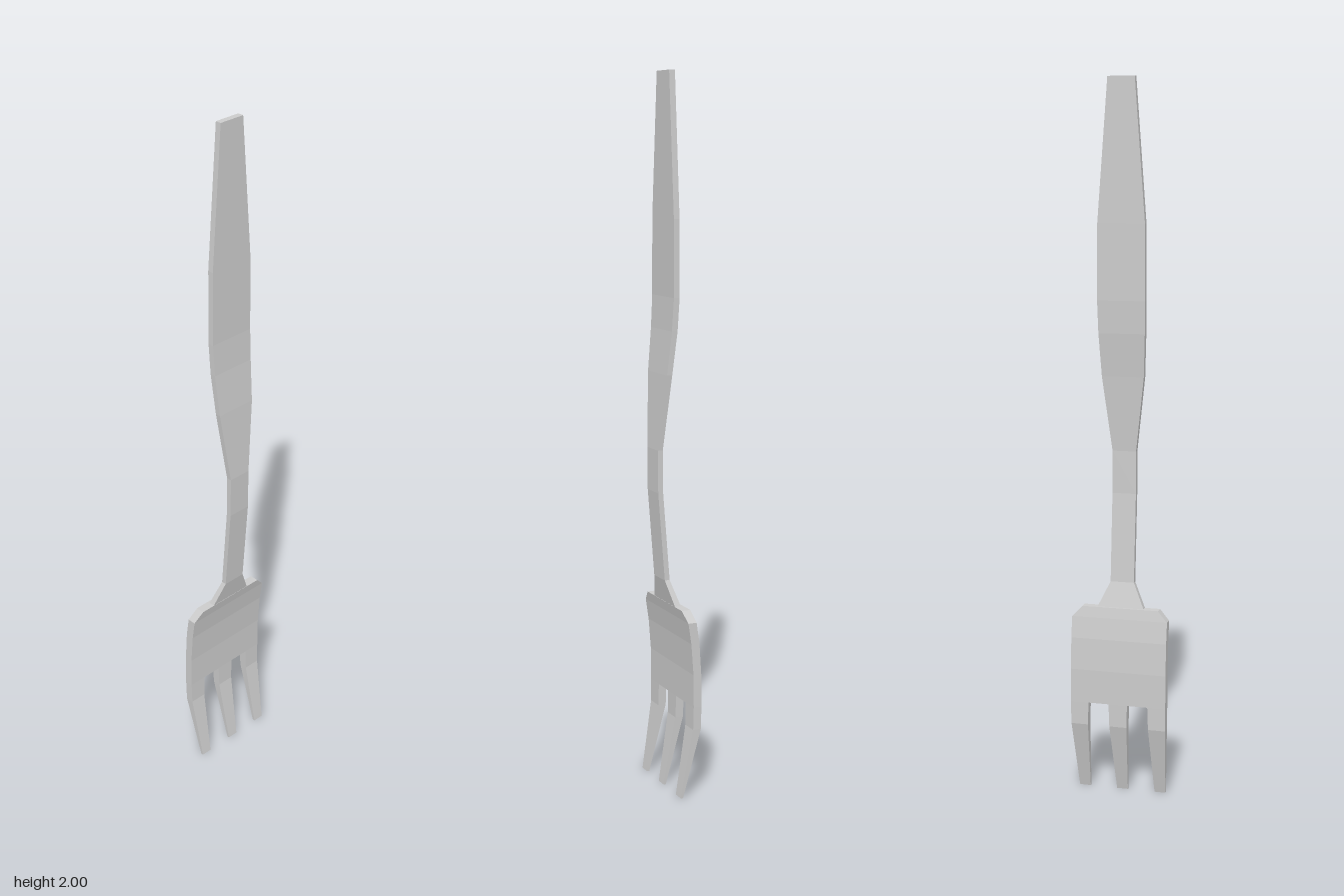
import * as THREE from 'three';

const material = new THREE.MeshStandardMaterial({ color: 0xcccccc, flatShading: true });

// Skins rectangular sections listed from top to bottom: [y, xLow, xHigh, zFront, zBack]
function loft(name, rows, capTop = true, capBottom = true) {
  const positions = [], index = [];
  rows.forEach(([y, x0, x1, zf, zb]) =>
    positions.push(x0, y, zf, x1, y, zf, x1, y, zb, x0, y, zb));
  for (let r = 0; r < rows.length - 1; r++) {
    for (let k = 0; k < 4; k++) {
      const a = r * 4 + k, b = r * 4 + (k + 1) % 4;
      index.push(a, a + 4, b + 4, a, b + 4, b);
    }
  }
  const e = (rows.length - 1) * 4;
  if (capTop) index.push(0, 1, 2, 0, 2, 3);
  if (capBottom) index.push(e, e + 2, e + 1, e, e + 3, e + 2);
  const indexed = new THREE.BufferGeometry();
  indexed.setAttribute('position', new THREE.Float32BufferAttribute(positions, 3));
  indexed.setIndex(index);
  const geometry = indexed.toNonIndexed();
  geometry.computeVertexNormals();
  const mesh = new THREE.Mesh(geometry, material);
  mesh.name = name;
  return mesh;
}

// Section symmetric about x = 0
const sym = ([y, half, zf, zb]) => [y, -half, half, zf, zb];

export function createModel() {
  const fork = new THREE.Group();
  fork.name = 'fork';

  // Handle: wide grip, S-curved narrow shank, flared neck
  fork.add(loft('handle', [
    [2.0, 0.038, 0.010, -0.007],
    [1.61, 0.067, 0.010, -0.007],
    [1.4, 0.068, 0.010, -0.007],
    [1.31, 0.066, 0.015, -0.002],
    [1.19, 0.060, 0.027, 0.011],
    [0.98, 0.034, 0.042, 0.027],
    [0.86, 0.034, 0.041, 0.026],
    [0.61, 0.034, 0.021, 0.006],
    [0.535, 0.069, 0.004, -0.014],
  ].map(sym)));

  // Palm: dished plate with clipped shoulders
  const root = 0.265, front = -0.018, back = -0.042;
  fork.add(loft('palm', [
    [0.54, 0.110, 0.006, -0.020],
    [0.51, 0.138, -0.001, -0.026],
    [0.45, 0.138, -0.010, -0.035],
    [0.36, 0.138, -0.017, -0.041],
    [root, 0.138, front, back],
  ].map(sym), true, false));

  // Tines: [x range at root, at bend, at tip]
  const outer = [[0.086, 0.138], [0.088, 0.137], [0.095, 0.127]];
  const tines = {
    leftTine: outer,
    middleTine: [[-0.027, 0.027], [-0.025, 0.025], [-0.016, 0.016]],
    rightTine: outer.map(([a, b]) => [-b, -a]),
  };
  for (const [name, [top, bend, tip]] of Object.entries(tines)) {
    fork.add(loft(name, [
      [root, ...top, front, back],
      [0.2, ...bend, -0.017, -0.041],
      [0, ...tip, 0.016, 0.009],
    ], false));
  }

  // Undersides of the palm between the tines
  for (const side of [-1, 1]) {
    const roof = new THREE.Mesh(new THREE.PlaneGeometry(0.059, front - back), material);
    roof.name = side > 0 ? 'leftSlotRoof' : 'rightSlotRoof';
    roof.rotation.x = Math.PI / 2;
    roof.position.set(side * 0.0565, root, (front + back) / 2);
    fork.add(roof);
  }
  return fork;
}
